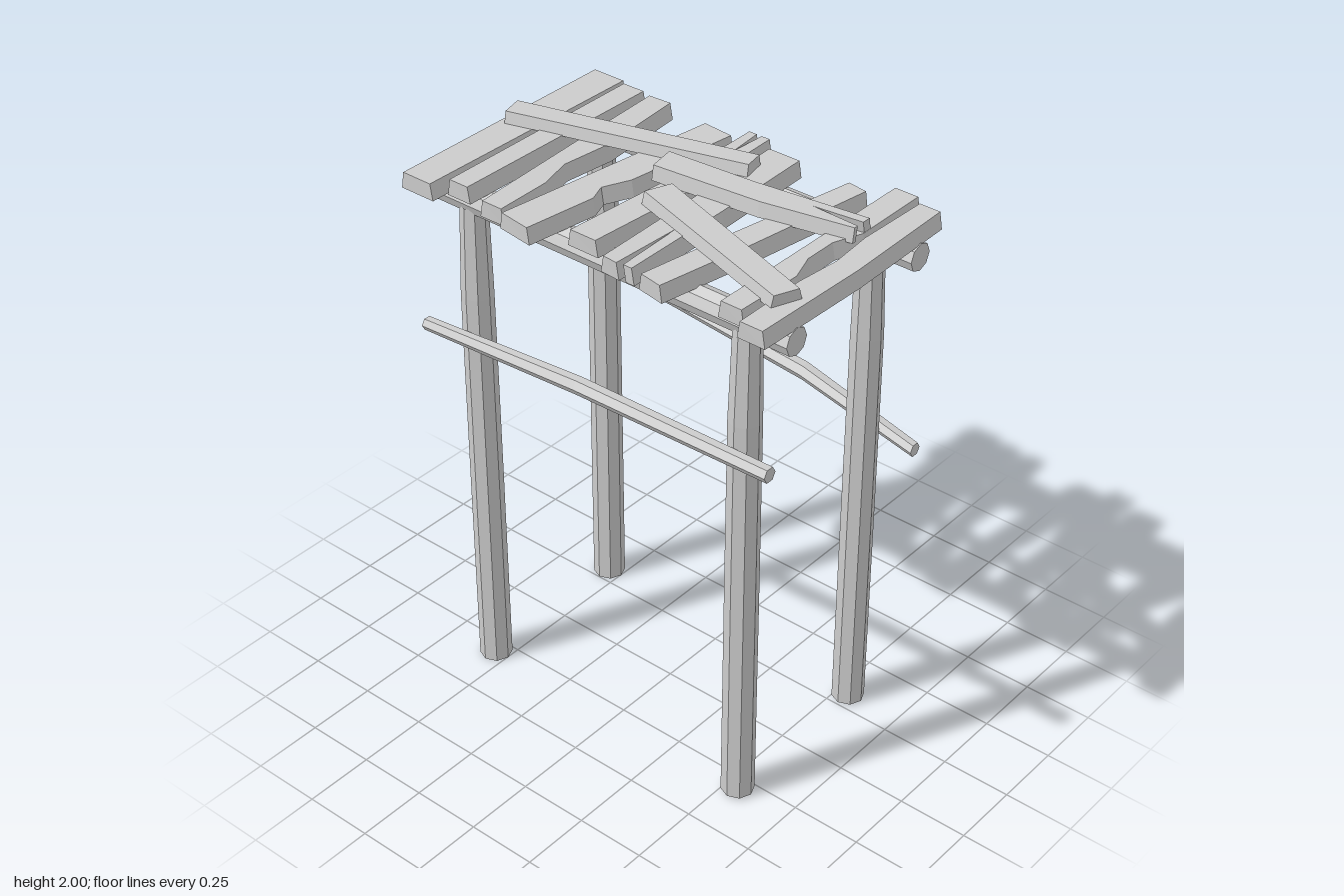
import * as THREE from 'three';

const wood = new THREE.MeshStandardMaterial({ color: 0xcccccc, flatShading: true, side: THREE.DoubleSide });

// Round timber through a few [x, y, z, radius] stations, running along 'x' or 'y'
function log(name, stations, axis, sides, open = false) {
  const n = stations.length - 1;
  const geo = new THREE.CylinderGeometry(1, 1, 1, sides, n, open);
  const pos = geo.attributes.position;
  for (let i = 0; i < pos.count; i++) {
    const [x, y, z, r] = stations[Math.round((pos.getY(i) + 0.5) * n)];
    const a = pos.getX(i) * r, b = pos.getZ(i) * r;
    if (axis === 'y') pos.setXYZ(i, x + a, y, z + b);
    else pos.setXYZ(i, x, y - a, z + b);
  }
  geo.computeVertexNormals();
  const mesh = new THREE.Mesh(geo, wood);
  mesh.name = name;
  return mesh;
}

// Flat board from its [x, z] outline; the underside flares a little to either
// side of the centre line a-b. tilt raises the end at b.
function board(name, outline, a, b, y, thick, tilt = 0) {
  const shape = new THREE.Shape(outline.map(([x, z]) => new THREE.Vector2(x, -z)));
  const geo = new THREE.ExtrudeGeometry(shape, { depth: thick, bevelEnabled: false });
  geo.rotateX(-Math.PI / 2);
  const pos = geo.attributes.position;
  const dx = b[0] - a[0], dz = b[1] - a[1], len = Math.hypot(dx, dz);
  for (let i = 0; i < pos.count; i++) {
    const px = pos.getX(i) - a[0], pz = pos.getZ(i) - a[1];
    const side = Math.sign(px * dz - pz * dx);
    const flare = pos.getY(i) < thick / 2 ? 0.01 * side : 0;
    const along = (px * dx + pz * dz) / (len * len);
    pos.setXYZ(i, pos.getX(i) + flare * dz / len, y + pos.getY(i) + tilt * along, pos.getZ(i) - flare * dx / len);
  }
  geo.computeVertexNormals();
  const mesh = new THREE.Mesh(geo, wood);
  mesh.name = name;
  return mesh;
}

export function createModel() {
  const model = new THREE.Group();
  model.name = 'woodenPlatform';

  // Four posts, narrowing near the top
  for (const x of [-0.555, 0.547]) {
    for (const z of [0.302, -0.309]) {
      model.add(log('post', [
        [x, x > 0 ? 0.008 : 0, z, 0.057], [x, 0.76, z, 0.056],
        [x, 1.5, z, 0.054], [x, 1.83, z * 0.985, 0.046],
      ], 'y', 8, true));
    }
  }

  // Beams carrying the deck
  for (const z of [0.297, -0.312]) {
    model.add(log('beam', [[-0.725, 1.848, z, 0.048], [0.725, 1.848, z, 0.048]], 'x', 8));
  }

  // Crooked side rails
  model.add(log('frontRail', [
    [-0.725, 1.35, 0.372, 0.024], [-0.05, 1.402, 0.382, 0.03], [0.7, 1.405, 0.374, 0.027],
  ], 'x', 6));
  model.add(log('backRail', [
    [-0.7, 1.285, -0.385, 0.026], [-0.3, 1.237, -0.4, 0.028],
    [0.25, 1.19, -0.392, 0.031], [0.71, 1.09, -0.378, 0.025],
  ], 'x', 6));

  // Deck planks: left edge back to front, then right edge front to back
  const planks = [
    { left: [[-0.715, -0.46], [-0.71, 0.445]], right: [[-0.595, 0.445], [-0.59, -0.46]] },
    { left: [[-0.57, -0.44], [-0.563, 0.39]], right: [[-0.488, 0.39], [-0.485, -0.44]] },
    { left: [[-0.455, -0.435], [-0.435, -0.1], [-0.4, 0.415]],
      right: [[-0.322, 0.415], [-0.327, 0.21], [-0.36, 0.085], [-0.34, -0.1], [-0.37, -0.44]] },
    { left: [[-0.19, -0.4], [-0.3, 0.435]],
      right: [[-0.182, 0.452], [-0.147, 0.19], [-0.172, 0.125], [-0.13, 0.03], [-0.075, -0.39]] },
    // split at the back
    { left: [[-0.052, -0.455], [-0.048, -0.1], [-0.08, 0.37]],
      right: [[0.02, 0.37], [0.045, 0], [0.03, -0.455], [-0.002, -0.455], [-0.01, -0.32], [-0.022, -0.455]] },
    // split at the front
    { left: [[0.072, -0.4], [0.1, 0.425]],
      right: [[0.155, 0.43], [0.165, 0.17], [0.178, 0.425], [0.21, 0.425], [0.205, 0], [0.192, -0.4]] },
    { left: [[0.39, -0.395], [0.3, 0.1], [0.247, 0.425]], right: [[0.33, 0.44], [0.39, 0.1], [0.462, -0.385]] },
    { left: [[0.522, -0.455], [0.522, 0.395]],
      right: [[0.598, 0.395], [0.606, 0.15], [0.572, 0.05], [0.572, -0.07], [0.61, -0.17], [0.608, -0.455]] },
    { left: [[0.632, -0.43], [0.625, -0.16], [0.64, 0], [0.625, 0.16], [0.628, 0.44]],
      right: [[0.71, 0.44], [0.72, 0], [0.708, -0.43]] },
  ];
  planks.forEach(({ left, right }, i) => {
    const mid = (p, q) => [(p[0] + q[0]) / 2, (p[1] + q[1]) / 2];
    const a = mid(left[0], right[right.length - 1]), b = mid(left[left.length - 1], right[0]);
    model.add(board('deckPlank', [...left, ...right], a, b, 1.89 + (i % 2) * 0.004, 0.058));
  });

  // Loose planks nailed across the deck, the second one split at its end
  model.add(board('crossPlank', [[-0.71, -0.078], [0.117, -0.292], [0.13, -0.222], [-0.69, 0]],
    [-0.7, -0.04], [0.124, -0.257], 1.948, 0.04, 0.004));
  model.add(board('crossPlank', [
    [-0.103, -0.118], [0.215, -0.145], [0.61, -0.2], [0.61, -0.168], [0.44, -0.145],
    [0.61, -0.14], [0.61, -0.125], [0.3, -0.06], [-0.085, -0.02],
  ], [-0.094, -0.07], [0.61, -0.163], 1.95, 0.05, -0.008));
  model.add(board('crossPlank', [[0.025, 0.02], [0.687, 0.24], [0.655, 0.32], [-0.01, 0.11]],
    [0.008, 0.065], [0.671, 0.28], 1.95, 0.042, -0.006));

  return model;
}
